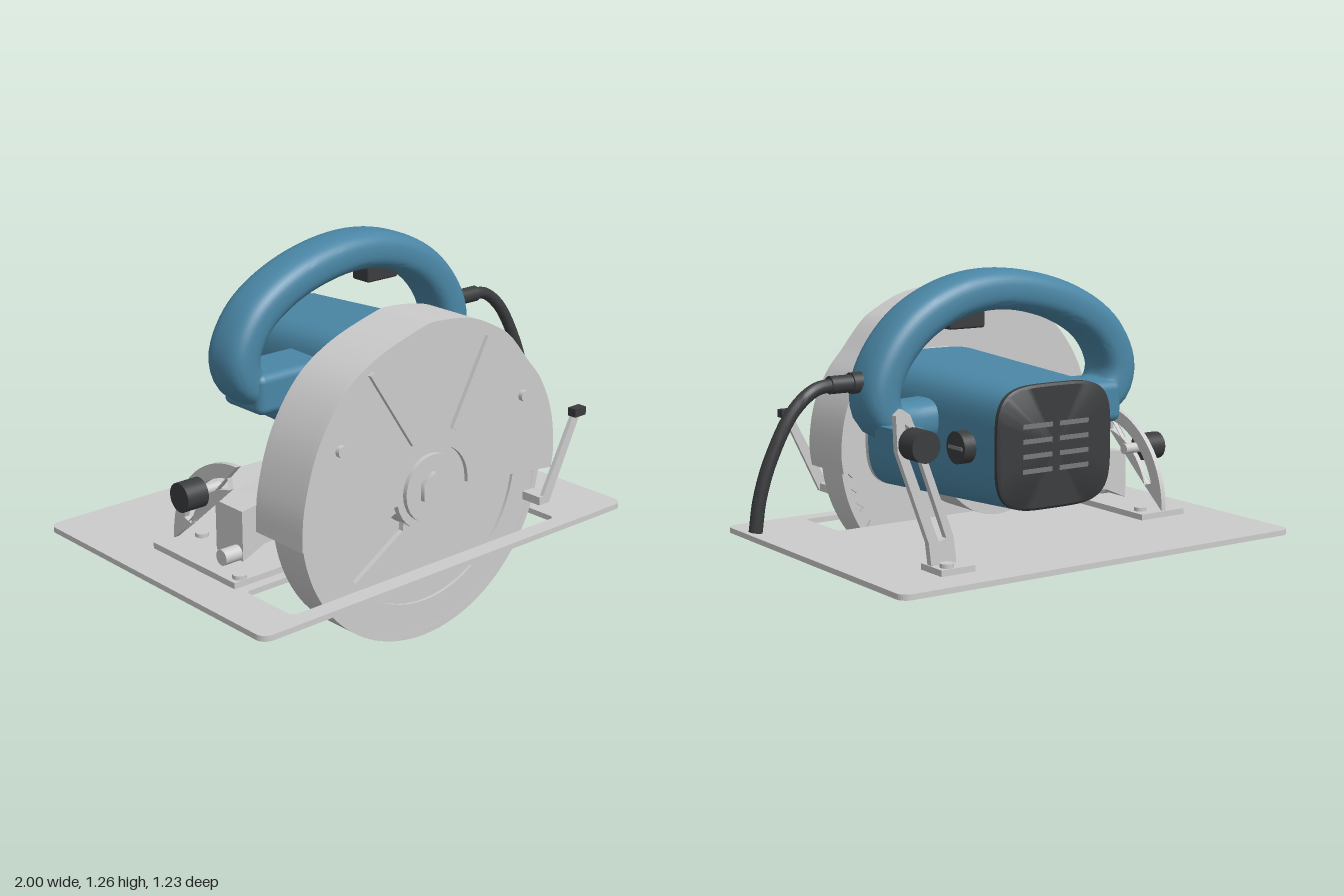
import * as THREE from 'three';
import { toCreasedNormals } from 'three/addons/utils/BufferGeometryUtils.js';
import { RoundedBoxGeometry } from 'three/addons/geometries/RoundedBoxGeometry.js';

const mat = (color) => new THREE.MeshStandardMaterial({ color, side: THREE.DoubleSide });
const V2 = (p) => new THREE.Vector2(p[0], p[1]);

// Extrude a shape from z0 to z1, with creased smooth normals
function slab(shape, z0, z1) {
  const g = new THREE.ExtrudeGeometry(shape, { depth: z1 - z0, bevelEnabled: false, curveSegments: 32 });
  return toCreasedNormals(g.translate(0, 0, z0), 0.5);
}

// Skin a list of rings and cap both ends
function loft(rings) {
  const n = rings[0].length, pos = [], idx = [];
  rings.forEach((r) => r.forEach((p) => pos.push(p.x, p.y, p.z)));
  for (let i = 0; i < rings.length - 1; i++) for (let j = 0; j < n; j++) {
    const a = i * n + j, b = i * n + (j + 1) % n;
    idx.push(a, b, a + n, b, b + n, a + n);
  }
  [[0, -1], [rings.length - 1, 1]].forEach(([i, dir]) => {
    const c = new THREE.Vector3();
    rings[i].forEach((p) => c.addScaledVector(p, 1 / n));
    const k = pos.length / 3;
    pos.push(c.x, c.y, c.z);
    for (let j = 0; j < n; j++) {
      const a = i * n + j, b = i * n + (j + 1) % n;
      if (dir > 0) idx.push(k, a, b); else idx.push(k, b, a);
    }
  });
  const g = new THREE.BufferGeometry();
  g.setAttribute('position', new THREE.Float32BufferAttribute(pos, 3));
  g.setIndex(idx);
  return toCreasedNormals(g, 0.6);
}

// Superellipse ring around centre c, spanned by u and v
function ring(c, u, v, hu, hv, power, n = 40) {
  const f = (t) => Math.sign(t) * Math.abs(t) ** (2 / power);
  return Array.from({ length: n }, (_, j) => {
    const a = (j / n) * Math.PI * 2;
    return c.clone().addScaledVector(u, hu * f(Math.cos(a))).addScaledVector(v, hv * f(Math.sin(a)));
  });
}

function roundRect(x0, y0, x1, y1, r) {
  const s = new THREE.Shape();
  s.absarc(x1 - r, y1 - r, r, 0, Math.PI / 2);
  s.absarc(x0 + r, y1 - r, r, Math.PI / 2, Math.PI);
  s.absarc(x0 + r, y0 + r, r, Math.PI, Math.PI * 1.5);
  s.absarc(x1 - r, y0 + r, r, Math.PI * 1.5, Math.PI * 2);
  return s;
}

export function createModel() {
  const model = new THREE.Group();
  const grey = mat(0xcccccc), blue = mat(0x4a86a5), dark = mat(0x3a3c3e);
  const add = (name, geo, m = grey) => {
    const mesh = new THREE.Mesh(geo, m);
    mesh.name = name;
    model.add(mesh);
    return mesh;
  };
  const box = (name, x0, x1, y0, y1, z0, z1, m, r = 0) => {
    const size = [x1 - x0, y1 - y0, z1 - z0];
    const g = r ? new RoundedBoxGeometry(...size, 3, r) : new THREE.BoxGeometry(...size);
    return add(name, g.translate((x0 + x1) / 2, (y0 + y1) / 2, (z0 + z1) / 2), m);
  };
  // Cylinder centred at (x, y, z) along the given axis
  const rod = (name, axis, r, len, x, y, z, m, sides = 32) => {
    const g = new THREE.CylinderGeometry(r, r, len, sides);
    if (axis === 'z') g.rotateX(Math.PI / 2);
    if (axis === 'x') g.rotateZ(Math.PI / 2);
    return add(name, g.translate(x, y, z), m);
  };
  const BX = -0.21, BY = 0.55; // blade axis

  // Base plate with blade slot
  const plate = roundRect(-1, -0.61, 0.69, 0.61, 0.04);
  plate.holes.push(roundRect(-0.83, 0.305, 0.39, 0.545, 0.02));
  add('basePlate', slab(plate, -0.28, -0.26).rotateX(Math.PI / 2));

  // Upper guard: front plate, rim and back plate
  const outline = new THREE.SplineCurve([[-0.79, 0.485], [-0.78, 0.63], [-0.72, 0.82], [-0.61, 0.975],
    [-0.47, 1.065], [-0.285, 1.125], [-0.205, 1.135], [-0.055, 1.115], [0.06, 1.065], [0.135, 1.015],
    [0.22, 0.915], [0.29, 0.83], [0.345, 0.71], [0.366, 0.575], [0.357, 0.485]].map(V2)).getPoints(70);
  const inset = outline.map((p) => new THREE.Vector2(BX + (p.x - BX) * 0.96, BY + (p.y - BY) * 0.96));
  const front = new THREE.Shape(outline);
  front.lineTo(-0.06, 0.537);
  front.absarc(BX, BY, 0.15, 0, Math.PI, false);
  front.lineTo(-0.36, 0.537);
  add('upperGuardFront', slab(front, 0.535, 0.55));
  add('upperGuardRim', slab(new THREE.Shape([...outline, ...inset.reverse()]), 0.33, 0.535));
  add('upperGuardBack', slab(new THREE.Shape(outline), 0.315, 0.33));
  [[-0.505, 1.02, -0.32, 0.74], [0.02, 1.04, -0.14, 0.75]].forEach(([x0, y0, x1, y1]) => {
    const rib = add('guardRib', new THREE.BoxGeometry(Math.hypot(x1 - x0, y1 - y0), 0.018, 0.02));
    rib.position.set((x0 + x1) / 2, (y0 + y1) / 2, 0.555);
    rib.rotation.z = Math.atan2(y1 - y0, x1 - x0);
  });
  [-0.63, 0.2].forEach((x) => rod('guardBolt', 'z', 0.02, 0.03, x, 0.79, 0.552));

  // Lower guard: rim, face ring and inner face with a window
  const rim = new THREE.Shape();
  rim.absarc(BX, BY, 0.55, Math.PI - 0.2, Math.PI * 2 + 0.2, false);
  rim.absarc(BX, BY, 0.525, Math.PI * 2 + 0.2, Math.PI - 0.2, true);
  add('lowerGuardRim', slab(rim, 0.365, 0.51));
  const circle = (r) => new THREE.Shape().absarc(BX, BY, r, 0, Math.PI * 2);
  const faceRing = circle(0.53);
  faceRing.holes.push(circle(0.42));
  add('lowerGuardRing', slab(faceRing, 0.49, 0.509));
  const face = circle(0.43);
  face.holes.push(new THREE.Path([[-0.3, 0.5], [-0.57, 0.39], [-0.555, 0.29], [-0.52, 0.28], [-0.31, 0.41]].map(V2)));
  add('lowerGuardFace', slab(face, 0.478, 0.498));

  // Toothed blade and arbor
  const teeth = [];
  for (let i = 0; i < 48; i++) {
    const a = (i / 48) * Math.PI * 2;
    teeth.push(new THREE.Vector2(BX + 0.51 * Math.cos(a), BY + 0.51 * Math.sin(a)));
    teeth.push(new THREE.Vector2(BX + 0.475 * Math.cos(a + 0.03), BY + 0.475 * Math.sin(a + 0.03)));
  }
  add('blade', slab(new THREE.Shape(teeth), 0.425, 0.437));
  rod('arborFlange', 'z', 0.148, 0.2, BX, BY, 0.42);
  rod('arborWasher', 'z', 0.12, 0.03, BX, BY, 0.522);
  rod('arborBolt', 'z', 0.062, 0.03, BX, BY, 0.538, grey, 6);

  // Lever on the lower guard
  box('leverFoot', 0.26, 0.31, 0.375, 0.405, 0.5, 0.59);
  add('lever', slab(new THREE.Shape([[0.265, 0.38], [0.31, 0.375], [0.455, 0.67], [0.425, 0.68]].map(V2)), 0.575, 0.59));
  box('leverTip', 0.415, 0.47, 0.67, 0.7, 0.57, 0.605, dark);

  // Gearbox: round bearing housing blended into the motor side
  const gear = new THREE.Shape();
  gear.absarc(-0.01, 0.605, 0.25, 0, Math.PI * 0.58, false);
  gear.absarc(BX, BY, 0.25, Math.PI * 0.58, Math.PI * 1.725, false);
  add('gearbox', slab(gear, 0.14, 0.335));

  // Tapered motor body, front plate and end cap
  const X = new THREE.Vector3(1, 0, 0), downY = new THREE.Vector3(0, -1, 0), Z = new THREE.Vector3(0, 0, 1);
  const motorRing = (z, inset = 0) => {
    const t = (0.14 - z) / 0.755;
    return ring(new THREE.Vector3(0.09, 0.703, z), X, downY, 0.268 - 0.034 * t - inset, 0.247 - 0.037 * t - inset, 4, 64);
  };
  add('motorPlate', loft([motorRing(0.157), motorRing(0.14)]));
  add('motorBody', loft([motorRing(0.14), motorRing(-0.595)]), blue);
  add('motorEndCap', loft([motorRing(-0.595), motorRing(-0.61), motorRing(-0.616, 0.008)]), dark);
  const ventGrey = mat(0x77797b);
  [0.015, 0.165].forEach((x) => {
    for (let i = 0; i < 4; i++) {
      const y = 0.62 + i * 0.05;
      box('vent', x - 0.06, x + 0.06, y, y + 0.016, -0.618, -0.61, ventGrey);
    }
  });
  [-0.18, 0.36].forEach((x) => {
    rod('brushCap', 'x', 0.055, 0.06, x + (x > 0 ? -0.015 : 0.005), 0.7, -0.445, dark);
    box('brushSlot', x - 0.028, x + 0.018, 0.694, 0.706, -0.485, -0.405, ventGrey);
  });

  // Loop handle
  const path = new THREE.CatmullRomCurve3([[-0.1, 0.765], [-0.34, 0.765], [-0.445, 0.8], [-0.475, 0.89],
    [-0.41, 1.02], [-0.25, 1.125], [0, 1.187], [0.2, 1.172], [0.38, 1.09], [0.49, 0.97], [0.53, 0.86],
    [0.51, 0.785], [0.44, 0.762], [0.28, 0.765]].map(([x, y]) => new THREE.Vector3(x, y, -0.19)));
  const rings = [];
  for (let i = 0; i <= 80; i++) {
    const T = path.getTangentAt(i / 80);
    rings.push(ring(path.getPointAt(i / 80), Z, T.clone().cross(Z), 0.097, 0.072, 2.7));
  }
  add('handle', loft(rings), blue);
  box('handleMount', -0.45, -0.1, 0.69, 0.84, -0.3, -0.08, blue, 0.03);
  box('trigger', 0.11, 0.255, 1.062, 1.13, -0.235, -0.145, dark, 0.008);

  // Power cord
  rod('cordCollar', 'x', 0.036, 0.05, 0.6, 0.905, -0.19, dark);
  rod('cordSleeve', 'x', 0.03, 0.11, 0.65, 0.905, -0.19, dark);
  const cord = new THREE.CatmullRomCurve3([[0.68, 0.905, -0.19], [0.76, 0.895, -0.195], [0.84, 0.83, -0.19],
    [0.92, 0.68, -0.18], [0.96, 0.55, -0.172], [0.975, 0.44, -0.167]].map((p) => new THREE.Vector3(...p)));
  add('cord', loft(Array.from({ length: 31 }, (_, i) => {
    const T = cord.getTangentAt(i / 30), u = T.clone().cross(Z).normalize();
    return ring(cord.getPointAt(i / 30), u, T.clone().cross(u), 0.023, 0.023, 2, 16);
  })), dark);

  // Tilt quadrant with curved slot, clamp knob and arm
  box('quadrantBase', -0.845, -0.64, 0.28, 0.302, -0.19, 0.265);
  const quad = new THREE.Shape([V2([0.185, 0.3])]);
  quad.absarc(0.185, 0.3, 0.365, Math.PI / 2, Math.PI, false);
  const slot = new THREE.Path();
  slot.absarc(0.185, 0.3, 0.315, Math.PI * 0.55, Math.PI * 0.9, false);
  slot.absarc(0.185, 0.3, 0.275, Math.PI * 0.9, Math.PI * 0.55, true);
  quad.holes.push(slot);
  add('tiltQuadrant', slab(quad, 0.745, 0.765).rotateY(-Math.PI / 2));
  rod('tiltKnob', 'x', 0.052, 0.085, -0.812, 0.522, -0.015, dark);
  rod('tiltKnobStem', 'x', 0.02, 0.1, -0.74, 0.522, -0.015);
  rod('tiltPivot', 'x', 0.028, 0.1, -0.76, 0.345, 0.15);
  add('tiltArm', slab(new THREE.Shape([[-0.742, 0.32], [-0.65, 0.36], [-0.25, 0.38], [-0.25, 0.6],
    [-0.39, 0.6], [-0.6, 0.52], [-0.742, 0.5]].map(V2)), 0.035, 0.18));
  [[-0.685, -0.125], [-0.805, 0.24]].forEach(([x, z]) => rod('baseBolt', 'y', 0.024, 0.025, x, 0.304, z));

  // Depth bracket with slotted arm, clamp block and knob
  box('bracketFoot', 0.32, 0.455, 0.28, 0.302, -0.48, -0.355);
  rod('bracketBolt', 'y', 0.024, 0.025, 0.415, 0.304, -0.45);
  const strip = new THREE.Shape([[0.35, 0.3], [0.45, 0.3], [0.46, 0.38], [0.58, 0.7], [0.585, 0.82], [0.56, 0.84],
    [0.53, 0.82], [0.47, 0.68], [0.36, 0.39]].map(V2));
  strip.holes.push(new THREE.Path([[0.39, 0.39], [0.42, 0.38], [0.545, 0.7], [0.55, 0.79], [0.535, 0.78], [0.5, 0.69]].map(V2)));
  add('depthBracket', slab(strip, -0.411, -0.387));
  box('clampBlock', 0.46, 0.56, 0.682, 0.766, -0.387, -0.24, blue);
  rod('depthKnob', 'z', 0.054, 0.085, 0.525, 0.725, -0.457, dark);
  rod('depthKnobStem', 'z', 0.02, 0.09, 0.525, 0.725, -0.4);

  return model;
}
